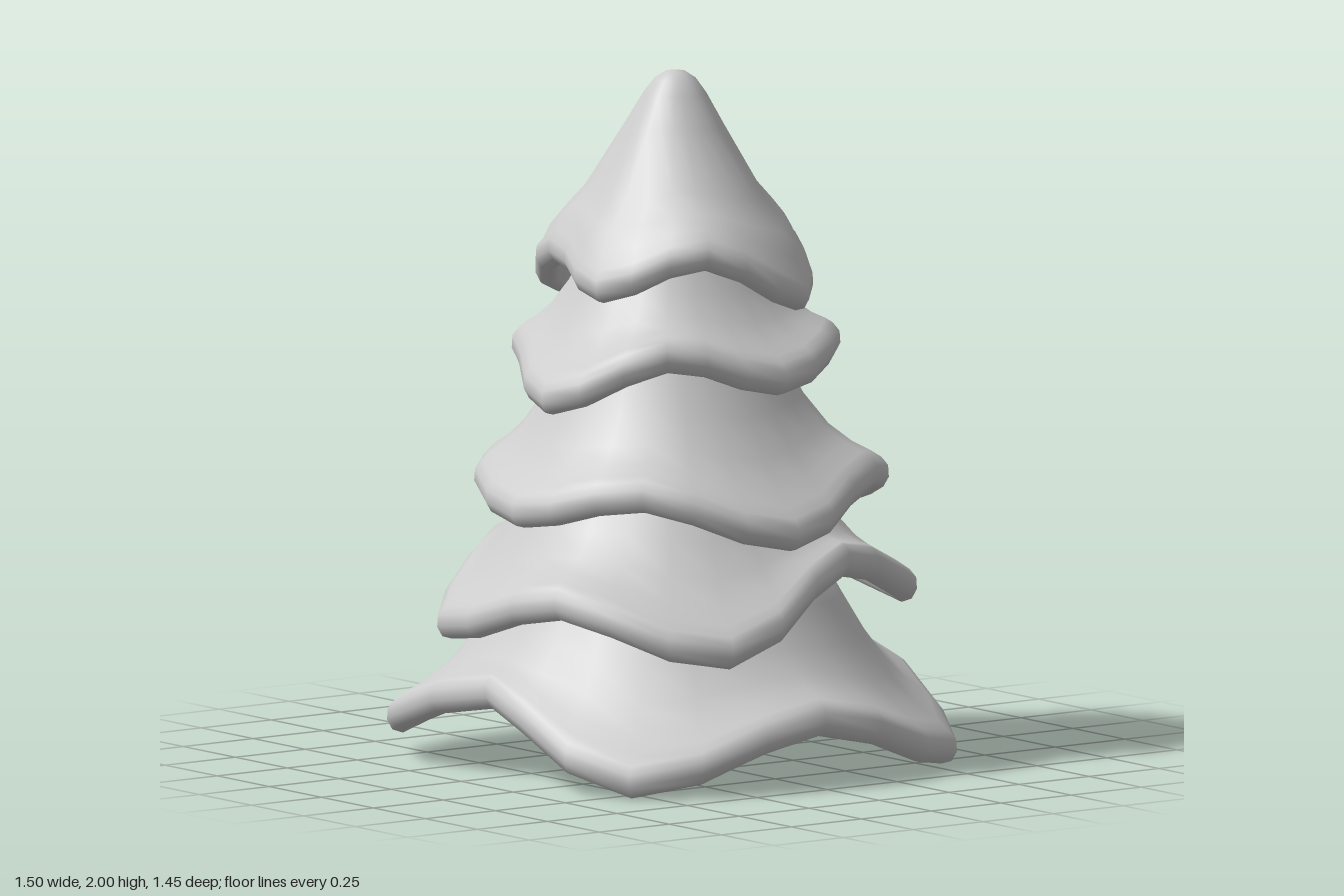
import * as THREE from 'three';
import { mergeVertices } from 'three/addons/utils/BufferGeometryUtils.js';

const COLUMNS = 24;

// Each tier has four drooping lobes. Rim radii and underside heights are evenly spaced around
// the tree, starting at angle "turn" (in degrees from +x towards +z).
const tiers = [
  { name: 'bottomBranches', top: [0.42, 0.61], turn: 45,
    radius: [0.825, 0.735, 0.665, 0.785, 0.825, 0.75, 0.71, 0.81, 0.855, 0.79, 0.715, 0.765, 0.83, 0.795, 0.75, 0.77],
    height: [0, 0.2, 0.055, 0.15, 0.035, 0.2, 0, 0.15] },
  { name: 'lowerBranches', top: [0.34, 0.93], turn: 22,
    radius: [0.711, 0.69, 0.648, 0.695, 0.605, 0.64, 0.7, 0.655, 0.65, 0.73, 0.625, 0.6],
    height: [0.355, 0.48, 0.37, 0.53, 0.36, 0.52, 0.425, 0.57] },
  { name: 'middleBranches', top: [0.25, 1.33], turn: 0,
    radius: [0.62, 0.582, 0.56, 0.57, 0.57, 0.533, 0.6, 0.545, 0.53, 0.62, 0.63, 0.578],
    height: [0.67, 0.79, 0.715, 0.795, 0.66, 0.78, 0.695, 0.79] },
  { name: 'upperBranches', top: [0.19, 1.6], turn: -7,
    radius: [0.485, 0.447, 0.49, 0.515, 0.45, 0.478, 0.502, 0.415, 0.44, 0.482, 0.485, 0.488],
    height: [1.1, 1.18, 1.045, 1.155, 1.065, 1.165, 1.06, 1.17] },
  { name: 'treeTop', top: [0, 2], turn: 67,
    radius: [0.43, 0.355, 0.39, 0.407, 0.35, 0.36, 0.424, 0.375, 0.385, 0.46, 0.446, 0.42],
    height: [1.37, 1.45, 1.32, 1.42, 1.35, 1.44, 1.33, 1.47] },
];

// Slopes from top to rim: [outward fraction, downward fraction]
const skirtSlope = [0, 0.2, 0.4, 0.6, 0.78, 0.92].map(f => [f, f + 0.18 * Math.sin(Math.PI * f)]);
const tipSlope = [[0, 0], [0.08, 0.01], [0.16, 0.05], [0.24, 0.13], [0.38, 0.31], [0.67, 0.67], [0.83, 0.81], [0.94, 0.92]];

// Smooth periodic interpolation through evenly spaced values around the tree
function around(values, u) {
  const n = values.length, i = Math.floor(u * n), t = u * n - i;
  const [a, b, c, d] = [-1, 0, 1, 2].map(k => values[(i + k + n) % n]);
  return b + 0.5 * t * (c - a + t * (2 * a - 5 * b + 4 * c - d + t * (3 * (b - c) + d - a)));
}
const mean = values => values.reduce((s, v) => s + v, 0) / values.length;

// Cross-section of a tier at one angle: outer slope, rounded lip, inner slope
function section({ top: [r0, y0], radius, height }, u) {
  const R = around(radius, u), Y = around(height, u);
  const midR = mean(radius), midY = mean(height);
  // The rim's waves fade out towards the round top
  const outer = (r0 > 0 ? skirtSlope : tipSlope).map(([f, g]) => [
    r0 + (midR - 0.02 - r0) * f + (R - midR) * f * f,
    y0 + (midY + 0.1 - y0) * g + (Y - midY) * g ** 3,
  ]);
  const lip = [65, 25, -15, -55, -100, -145].map(deg => {
    const a = THREE.MathUtils.degToRad(deg);
    return [R - 0.04 + 0.04 * Math.cos(a), Y + 0.05 + 0.05 * Math.sin(a)];
  });
  const inner = outer.map(([r, y]) => [Math.max(0, r - 0.04), y - 0.03]).reverse();
  return [...outer, ...lip, ...inner, ...(r0 > 0 ? [outer[0]] : [])];
}

// Sweep the cross-section around the tree into one closed shell
function tierGeometry(tier) {
  const sections = Array.from({ length: COLUMNS }, (_, j) => section(tier, j / COLUMNS));
  const rows = sections[0].length;
  const position = [], index = [];
  sections.forEach((points, j) => {
    const a = THREE.MathUtils.degToRad(tier.turn + (360 * j) / COLUMNS);
    const next = ((j + 1) % COLUMNS) * rows;
    points.forEach(([r, y], i) => {
      const lean = 0.04 * Math.max(0, y - 1.5);
      position.push(r * Math.cos(a) + lean, y, r * Math.sin(a));
      if (i === rows - 1) return;
      const p = j * rows + i, q = next + i;
      index.push(p, q, p + 1, q, q + 1, p + 1);
    });
  });
  const geometry = new THREE.BufferGeometry();
  geometry.setAttribute('position', new THREE.Float32BufferAttribute(position, 3));
  geometry.setIndex(index);
  const welded = mergeVertices(geometry, 1e-5);
  welded.computeVertexNormals();
  return welded;
}

export function createModel() {
  const group = new THREE.Group();
  group.name = 'firTree';
  const material = new THREE.MeshStandardMaterial({ color: 0xcccccc });
  for (const tier of tiers) {
    const mesh = new THREE.Mesh(tierGeometry(tier), material);
    mesh.name = tier.name;
    group.add(mesh);
  }
  return group;
}
